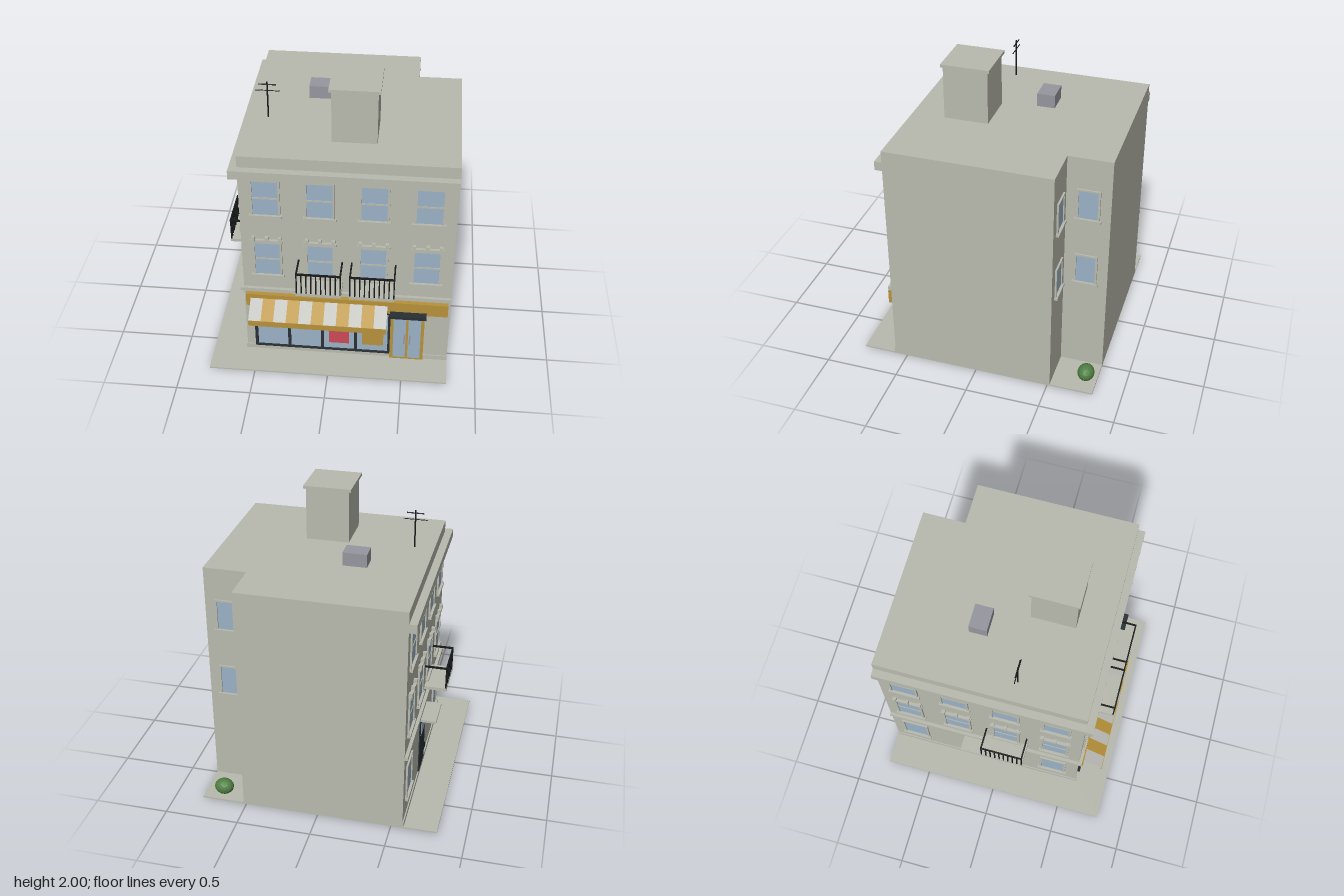
import * as THREE from 'three';

const mat = (name, color, extra = {}) => {
  const m = new THREE.MeshStandardMaterial({ color, ...extra });
  m.name = name;
  return m;
};

export function createModel() {
  const stone = mat('stone', 0xb9baae);
  const glass = mat('glass', 0x9ab2c6);
  const gold = mat('gold', 0xb8923a);
  const cream = mat('cream', 0xbdbeb8);
  const dark = mat('dark trim', 0x283034);
  const iron = mat('iron', 0x17191a);
  const red = mat('red', 0xcb4a57);
  const grey = mat('grey metal', 0x96979f);
  const green = mat('leaf green', 0x4f7f42, { flatShading: true });

  const root = new THREE.Group();
  root.name = 'cornerShopBuilding';

  // Box given by its minimum and maximum on each axis
  const box = (parent, name, m, x0, x1, y0, y1, z0, z1) => {
    const mesh = new THREE.Mesh(new THREE.BoxGeometry(x1 - x0, y1 - y0, z1 - z0), m);
    mesh.position.set((x0 + x1) / 2, (y0 + y1) / 2, (z0 + z1) / 2);
    mesh.name = name;
    parent.add(mesh);
    return mesh;
  };
  // Group lying on a wall, with local +z pointing out of it
  const onWall = (name, x, z, turn) => {
    const g = new THREE.Group();
    g.name = name;
    g.position.set(x, 0, z);
    g.rotation.y = turn;
    root.add(g);
    return g;
  };
  const FRONT = 0, LEFTWARD = -Math.PI / 2, BACK = Math.PI, RIGHTWARD = Math.PI / 2;

  // Pavement, doorstep and main block with a notched rear corner
  box(root, 'pavement', stone, -0.81, 0.805, 0.01, 0.02, -0.81, 0.805);
  box(root, 'doorStep', stone, 0.38, 0.67, 0, 0.014, 0.59, 0.73);
  const plan = new THREE.Shape([[-0.58, -0.58], [0.805, -0.58], [0.805, 0.52], [0.515, 0.52], [0.515, 0.81], [-0.58, 0.81]]
    .map(([x, y]) => new THREE.Vector2(x, y)));
  const walls = new THREE.Mesh(new THREE.ExtrudeGeometry(plan, { depth: 1.6, bevelEnabled: false }), stone);
  walls.rotation.x = -Math.PI / 2;
  walls.position.y = 0.02;
  walls.name = 'walls';
  root.add(walls);

  // Horizontal mouldings wrapping the two street walls
  const band = (name, y0, y1, d) => {
    box(root, name + 'Front', stone, -0.58 - d, 0.805, y0, y1, 0.58, 0.58 + d);
    box(root, name + 'Side', stone, -0.58 - d, -0.58, y0, y1, -0.81, 0.58);
  };
  band('cornice', 1.48, 1.54, 0.05);
  band('stringCourse', 0.555, 0.58, 0.022);
  band('plinth', 0.02, 0.055, 0.008);

  // Sash window; crown is 'flat', 'notched' or 'plain'
  const addWindow = (x, z, turn, sill, height, width, crown) => {
    const g = onWall('window', x, z, turn);
    const w = width / 2, top = sill + height, f = 0.014;
    box(g, 'pane', glass, -w, w, sill, top, 0, 0.004);
    for (const s of [-1, 1]) {
      const c = s * (w + f / 2);
      box(g, 'jamb', stone, c - f / 2, c + f / 2, sill, top, 0, 0.012);
    }
    box(g, 'sill', stone, -w - 0.024, w + 0.024, sill - 0.016, sill, 0, 0.022);
    if (crown === 'plain') {
      box(g, 'head', stone, -w - f, w + f, top, top + 0.012, 0, 0.012);
      return;
    }
    box(g, 'meetingRail', stone, -w, w, top - height / 2 - 0.006, top - height / 2 + 0.006, 0, 0.008);
    box(g, 'head', stone, -w - f, w + f, top, top + 0.014, 0, 0.012);
    box(g, 'lintel', stone, -w - 0.024, w + 0.024, top + 0.014, top + 0.032, 0, 0.02);
    if (crown === 'notched') {
      for (const c of [-0.087, 0, 0.087]) box(g, 'keystone', stone, c - 0.011, c + 0.011, top + 0.02, top + 0.056, 0, 0.024);
    }
  };
  for (let i = 0; i < 4; i++) {
    const x = -0.41 + i * 0.347, z = -0.64 + i * 0.345;
    for (const [sill, crown] of [[1.188, 'flat'], [0.7, 'notched']]) {
      addWindow(x, 0.58, FRONT, sill, 0.256, 0.164, crown);
      addWindow(-0.58, z, LEFTWARD, sill, 0.256, 0.164, crown);
    }
    if (i === 0 || i === 3) addWindow(-0.58, z, LEFTWARD, 0.2, 0.24, 0.164, 'plain');
  }
  for (const sill of [1.19, 0.7]) {
    addWindow(0.66, -0.52, BACK, sill, 0.2, 0.125, 'plain');
    addWindow(0.515, -0.665, RIGHTWARD, sill, 0.2, 0.125, 'plain');
  }

  // Balconies with iron railings
  const addBalcony = (x, z, turn) => {
    const g = onWall('balcony', x, z, turn);
    const h = 0.148, d = 0.152;
    box(g, 'balconySlab', stone, -h, h, 0.65, 0.672, 0, d);
    box(g, 'frontRail', iron, -h, h, 0.822, 0.834, d - 0.01, d);
    for (const s of [-1, 1]) box(g, 'sideRail', iron, s * (h - 0.005) - 0.005, s * (h - 0.005) + 0.005, 0.822, 0.834, 0, d);
    for (let i = 0; i < 10; i++) {
      const c = -h + 0.005 + i * (2 * h - 0.01) / 9;
      box(g, 'baluster', iron, c - 0.004, c + 0.004, 0.672, 0.822, d - 0.009, d - 0.001);
    }
  };
  addBalcony(-0.063, 0.58, FRONT);
  addBalcony(0.286, 0.58, FRONT);
  addBalcony(-0.58, 0.055, LEFTWARD);

  // Shop front: fascia, glazing, mullions and posters
  const shop = onWall('shopFront', 0, 0.58, FRONT);
  box(shop, 'fascia', gold, -0.567, 0.79, 0.435, 0.532, 0, 0.03);
  box(shop, 'shopGlass', glass, -0.515, 0.405, 0.065, 0.42, 0, 0.008);
  for (let i = 0; i < 5; i++) {
    const c = -0.51 + i * 0.2285;
    box(shop, 'mullion', dark, c - 0.01, c + 0.01, 0.06, 0.425, 0, 0.018);
  }
  box(shop, 'bottomRail', dark, -0.52, 0.41, 0.055, 0.07, 0, 0.017);
  box(shop, 'topRail', dark, -0.52, 0.41, 0.41, 0.425, 0, 0.017);
  box(shop, 'redPoster', red, -0.01, 0.13, 0.12, 0.29, 0.008, 0.011);
  box(shop, 'goldPoster', gold, 0.22, 0.365, 0.12, 0.29, 0.008, 0.011);

  // Double entrance door with handles and small canopy
  box(shop, 'doorFrame', gold, 0.41, 0.64, 0.02, 0.427, 0, 0.02);
  for (const [a, b] of [[0.432, 0.517], [0.533, 0.618]]) box(shop, 'doorPane', glass, a, b, 0.035, 0.4, 0.02, 0.023);
  for (const x of [0.508, 0.545]) box(shop, 'doorHandle', grey, x - 0.005, x + 0.005, 0.17, 0.25, 0.023, 0.034);
  box(shop, 'doorCanopy', dark, 0.405, 0.65, 0.435, 0.457, 0.02, 0.08);

  // Striped awning, sloping down to a valance
  const profile = new THREE.Shape([[0.03, 0.5], [0.163, 0.415], [0.163, 0.407], [0.03, 0.492]]
    .map(([z, y]) => new THREE.Vector2(-z, y)));
  const stripe = 0.922 / 11;
  const stripeGeo = new THREE.ExtrudeGeometry(profile, { depth: stripe, bevelEnabled: false });
  for (let i = 0; i < 11; i++) {
    const m = new THREE.Mesh(stripeGeo, i % 2 ? gold : cream);
    m.rotation.y = Math.PI / 2;
    m.position.x = -0.535 + i * stripe;
    m.name = 'awningStripe';
    shop.add(m);
  }
  box(shop, 'awningValance', gold, -0.535, 0.387, 0.372, 0.415, 0.16, 0.166);

  // Side entrance with glazed upper panel and canopy
  const side = onWall('sideEntrance', -0.58, -0.14, LEFTWARD);
  box(side, 'sideDoor', dark, -0.1, 0.1, 0.055, 0.45, 0, 0.008);
  box(side, 'sideDoorPane', glass, -0.075, 0.075, 0.34, 0.435, 0.008, 0.011);
  box(side, 'sideDoorHandle', iron, 0.065, 0.08, 0.15, 0.19, 0.008, 0.018);
  box(side, 'sideCanopy', stone, -0.12, 0.12, 0.488, 0.504, 0, 0.115);

  // Roof: stair tower, vent unit and aerial
  box(root, 'roofTower', stone, -0.01, 0.28, 1.62, 1.98, 0.065, 0.36);
  box(root, 'roofTowerCap', stone, -0.027, 0.295, 1.98, 2, 0.05, 0.372);
  box(root, 'ventUnit', grey, -0.21, -0.05, 1.62, 1.71, -0.285, -0.165);
  const aerial = onWall('aerial', -0.447, 0.1, FRONT);
  const rod = (name, r, len, y, across) => {
    const m = new THREE.Mesh(new THREE.CylinderGeometry(r, r, len, 8), iron);
    m.position.y = y;
    if (across) m.rotation.z = Math.PI / 2;
    m.name = name;
    aerial.add(m);
  };
  rod('aerialMast', 0.005, 0.26, 1.75, false);
  rod('aerialUpperBar', 0.004, 0.115, 1.86, true);
  rod('aerialLowerBar', 0.003, 0.16, 1.816, true);

  // Shrub in the rear corner
  const bush = new THREE.Mesh(new THREE.IcosahedronGeometry(1, 2), green);
  bush.scale.set(0.066, 0.055, 0.057);
  bush.position.set(0.675, 0.076, -0.735);
  bush.name = 'bush';
  root.add(bush);

  return root;
}
